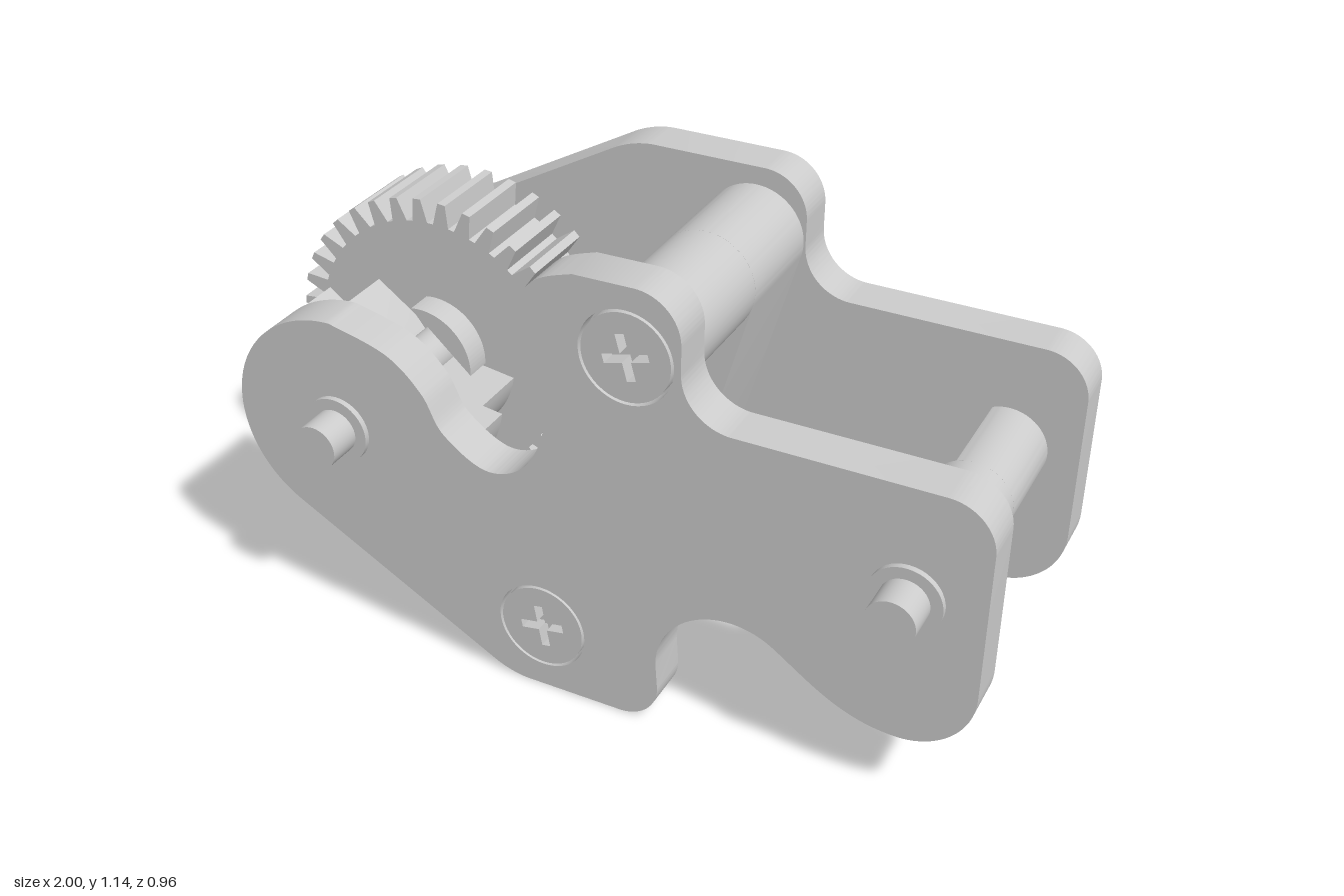
import * as THREE from 'three';
import { toCreasedNormals } from 'three/addons/utils/BufferGeometryUtils.js';

const AXLE = [-0.595, 0.572];   // gear axle
const PIN = [0.825, 0.572];     // cross pin at the right end
const TOP = [0.17, 0.97];       // upper spacer and screw
const LOW = [-0.055, 0.175];    // lower spacer and screw
const rad = THREE.MathUtils.degToRad;

export function createModel() {
  const model = new THREE.Group();
  const material = new THREE.MeshStandardMaterial({ color: 0xcccccc });

  function add(name, geometry) {
    const mesh = new THREE.Mesh(geometry, material);
    mesh.name = name;
    model.add(mesh);
    return mesh;
  }

  // flat profile in x,y filled from z0 to z1
  function slab(name, shape, z0, z1) {
    const g = new THREE.ExtrudeGeometry(shape, { depth: z1 - z0, bevelEnabled: false, curveSegments: 24 });
    g.translate(0, 0, z0);
    return add(name, toCreasedNormals(g, rad(35)));
  }

  // round bar along z
  function rod(name, [x, y], r, z0, z1) {
    const g = new THREE.CylinderGeometry(r, r, z1 - z0, 40);
    g.rotateX(Math.PI / 2);
    g.translate(x, y, (z0 + z1) / 2);
    return add(name, g);
  }

  // outline around two circles of equal radius
  function capsule([ax, ay], [bx, by], r) {
    const a = Math.atan2(by - ay, bx - ax);
    const s = new THREE.Shape();
    s.absarc(bx, by, r, a - Math.PI / 2, a + Math.PI / 2, false);
    s.absarc(ax, ay, r, a + Math.PI / 2, a + Math.PI * 1.5, false);
    s.closePath();
    return s;
  }

  // side plates: the front one has the S-shaped pocket beside the gear
  function plateShape(front) {
    const s = new THREE.Shape();
    s.moveTo(-0.1, 0);
    s.absarc(0.15, 0.1, 0.1, -Math.PI / 2, 0, false);
    s.absarc(0.43, 0.175, 0.185, Math.PI, rad(55), true);
    s.bezierCurveTo(0.62, 0.27, 0.7, 0.195, 0.83, 0.195);
    s.absarc(0.83, 0.365, 0.17, -Math.PI / 2, 0, false);
    s.absarc(0.89, 0.735, 0.11, 0, Math.PI / 2, false);
    s.absarc(0.42, 0.965, 0.12, -Math.PI / 2, -Math.PI, true);
    s.absarc(0.19, 1.03, 0.11, 0, Math.PI / 2, false);
    if (front) {
      s.lineTo(0.045, 1.138);
      s.splineThru([[-0.04, 1.105], [-0.095, 1.04], [-0.115, 0.955], [-0.08, 0.86], [-0.035, 0.74],
        [-0.09, 0.615], [-0.19, 0.575], [-0.3, 0.64], [-0.355, 0.735], [-0.445, 0.812], [-0.595, 0.854]]
        .map(([x, y]) => new THREE.Vector2(x, y)));
    } else {
      s.lineTo(-0.1, 1.14);
      s.quadraticCurveTo(-0.15, 1.138, -0.2, 1.113);
    }
    s.absarc(...AXLE, 0.282, rad(front ? 90 : 119), rad(241), false);
    s.lineTo(-0.2, 0.031);
    s.quadraticCurveTo(-0.15, 0.002, -0.1, 0);
    if (front) {
      for (const [x, y] of [TOP, LOW]) {
        s.holes.push(new THREE.Path().absarc(x, y, 0.114, 0, Math.PI * 2, true));
      }
    }
    return s;
  }
  slab('frontPlate', plateShape(true), 0.272, 0.383);
  slab('backPlate', plateShape(false), -0.383, -0.272);

  // spacers and the web joining them
  rod('upperSpacer', TOP, 0.125, -0.272, 0.272);
  slab('lowerSpacer', capsule([-0.15, 0.185], LOW, 0.122), -0.272, 0.272);
  slab('web', capsule(LOW, TOP, 0.125), -0.272, 0);

  // cross-slotted screws set flush into the front plate
  [['upperScrew', TOP, 15], ['lowerScrew', LOW, 10]].forEach(([name, [x, y], turn]) => {
    const head = new THREE.Shape().absarc(0, 0, 0.107, 0, Math.PI * 2, false);
    const slot = new THREE.Path();
    const w = 0.011, l = 0.056;
    const corners = [[l, -w], [l, w], [w, w]];
    for (let i = 0; i < 4; i++) {
      for (const [px, py] of corners) {
        const p = new THREE.Vector2(px, py).rotateAround(new THREE.Vector2(), i * Math.PI / 2);
        if (slot.curves.length || slot.started) slot.lineTo(p.x, p.y);
        else { slot.moveTo(p.x, p.y); slot.started = true; }
      }
    }
    slot.closePath();
    head.holes.push(slot);
    const mesh = slab(name, head, 0.345, 0.383);
    mesh.position.set(x, y, 0);
    mesh.rotation.z = rad(turn);
    rod(name + 'Shank', [x, y], 0.113, 0.272, 0.345);
  });

  // spur gear
  const gear = new THREE.Shape();
  const teeth = 36;
  for (let i = 0; i < teeth; i++) {
    [[-0.36, 0.345], [-0.15, 0.405], [0.15, 0.405], [0.36, 0.345]].forEach(([t, r], k) => {
      const a = (i + 0.5 + t) * Math.PI * 2 / teeth;
      const x = AXLE[0] + r * Math.cos(a), y = AXLE[1] + r * Math.sin(a);
      if (i + k === 0) gear.moveTo(x, y);
      else gear.lineTo(x, y);
    });
  }
  gear.closePath();
  slab('gear', gear, -0.27, -0.05);

  // drive dog on the gear face
  const dog = new THREE.Shape();
  dog.moveTo(...AXLE);
  dog.absarc(...AXLE, 0.14, rad(-5), rad(100), false);
  dog.closePath();
  slab('gearDog', dog, -0.052, 0.02);

  // stepped boss behind the front plate, cut open at its upper right
  function cutBoss(r) {
    const s = new THREE.Shape();
    s.absarc(...AXLE, r, rad(137), rad(352), false);
    s.lineTo(AXLE[0], AXLE[1]);
    s.lineTo(-0.655, 0.65);
    s.closePath();
    return s;
  }
  slab('stopBoss', cutBoss(0.28), 0.1, 0.273);
  slab('stopBossStep', cutBoss(0.225), -0.048, 0.1);

  // axle and cross pin with their collars
  rod('axle', AXLE, 0.056, -0.482, 0.482);
  rod('crossPin', PIN, 0.057, -0.482, 0.482);
  for (const center of [AXLE, PIN]) {
    rod('frontCollar', center, 0.085, 0.38, 0.397);
    rod('backCollar', center, 0.085, -0.397, -0.38);
  }
  rod('pinSleeve', PIN, 0.1, -0.02, 0.272);

  // rear half of the sleeve has a flat on its inner side
  const flat = new THREE.Shape();
  flat.absarc(...PIN, 0.1, rad(-114), rad(114), false);
  flat.closePath();
  slab('flattedSleeve', flat, -0.272, -0.02);

  return model;
}
